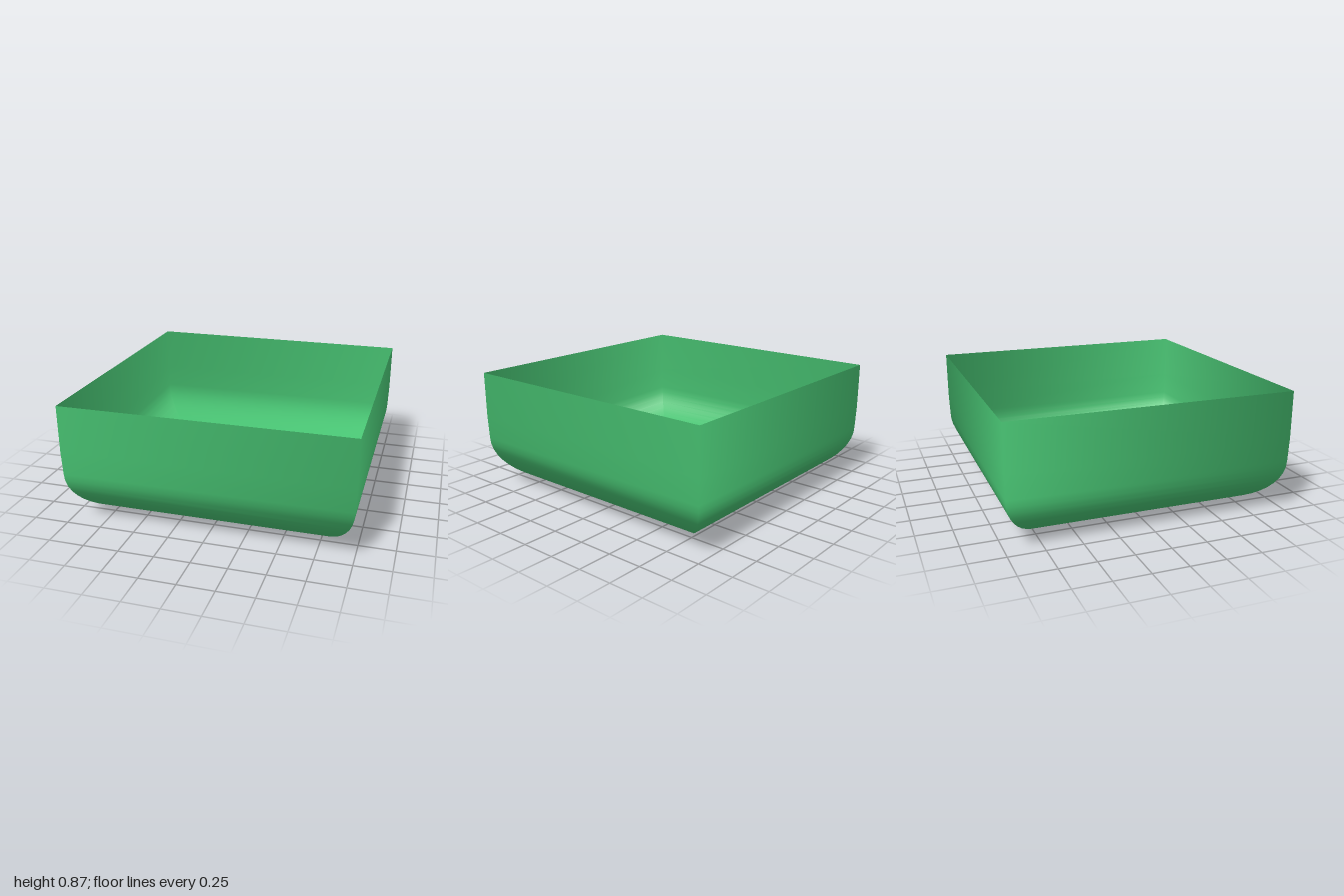
import * as THREE from 'three';

const mat = (color, extra = {}) => new THREE.MeshStandardMaterial({ color, ...extra });

function add(group, name, geometry, material) {
  const mesh = new THREE.Mesh(geometry, material);
  mesh.name = name;
  group.add(mesh);
  return mesh;
}

// Open square basin: a four-sided lathe whose wall curves into a flat floor
function makeBasin() {
  const profile = [[0, 0.01]];
  const steps = 12;
  for (let i = 0; i <= steps; i++) {
    const a = (i / steps) * Math.PI / 2;
    profile.push([0.57 + 0.425 * Math.sin(a), 0.37 - 0.36 * Math.cos(a)]);
  }
  profile.push([1, 0.54], [1, 0.87]);
  const points = profile.map(([x, y]) => new THREE.Vector2(x * Math.SQRT2, y));
  return new THREE.LatheGeometry(points, 4, Math.PI / 4);
}

// Chipped stone: a tapered prism with a bevelled top
function makeStone(radius, height) {
  const points = [[0, 0], [radius, 0], [radius * 0.95, height * 0.6], [radius * 0.65, height], [0, height]]
    .map(([x, y]) => new THREE.Vector2(x, y));
  return new THREE.LatheGeometry(points, 5);
}

export function createModel() {
  const model = new THREE.Group();
  const green = mat(0x48c473, { side: THREE.DoubleSide });
  const stoneGrey = mat(0xcccccc, { flatShading: true });
  const lime = mat(0xa5e06a, { flatShading: true });
  const red = mat(0xb0563f);
  const darkRed = mat(0x5a1f1c);

  add(model, 'basin', makeBasin(), green);

  // Ring of stones: x, z, radius, height
  const stones = new THREE.Group();
  stones.name = 'stoneRing';
  model.add(stones);
  [
    [0, -0.115, 0.062, 0.09], [0.115, -0.085, 0.056, 0.07], [0.125, 0.02, 0.052, 0.08],
    [0.1, 0.085, 0.058, 0.07], [-0.01, 0.118, 0.06, 0.08], [-0.11, 0.045, 0.06, 0.09],
    [-0.108, -0.055, 0.056, 0.07],
  ].forEach(([x, z, r, h], i) => {
    const stone = add(stones, 'stone', makeStone(r, h), stoneGrey);
    stone.position.set(x, 0, z);
    stone.rotation.y = Math.atan2(x, z) + (i % 3) * 0.2;
  });

  // Hexagonal mound inside the stones
  const mound = add(model, 'mound', new THREE.CylinderGeometry(0.1, 0.08, 0.1, 6), lime);
  mound.position.y = 0.06;
  mound.rotation.y = 0.05;

  // Slender stalk flaring at its foot, with a dark tip
  const stalk = [[0.045, 0.11], [0.032, 0.13], [0.022, 0.18], [0.014, 0.25], [0.01, 0.32]]
    .map(([x, y]) => new THREE.Vector2(x, y));
  add(model, 'stalk', new THREE.LatheGeometry(stalk, 12), red);
  const tip = add(model, 'tip', new THREE.SphereGeometry(0.013, 10, 8), darkRed);
  tip.position.y = 0.325;

  return model;
}
